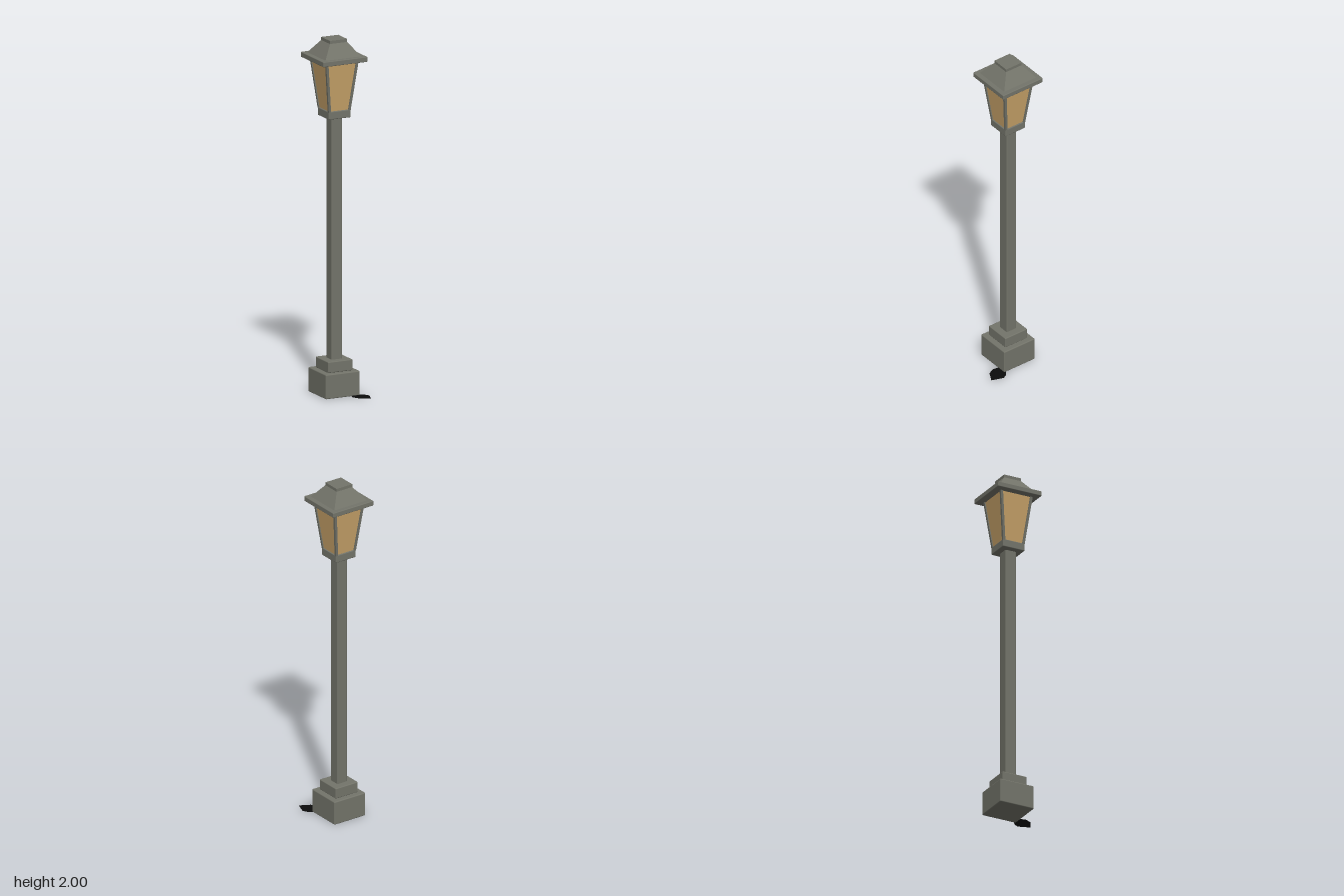
import * as THREE from 'three';
import { RoundedBoxGeometry } from 'three/addons/geometries/RoundedBoxGeometry.js';

export function createModel() {
  const model = new THREE.Group();
  const iron = new THREE.MeshStandardMaterial({ color: 0x73746a });
  iron.name = 'grey iron';
  const amber = new THREE.MeshStandardMaterial({ color: 0xc9a46a });
  amber.name = 'amber glass';
  const black = new THREE.MeshStandardMaterial({ color: 0x0c0c0c, side: THREE.DoubleSide });
  black.name = 'black';

  const lamp = new THREE.Group();
  lamp.name = 'streetLamp';
  lamp.position.set(-0.004, 0, -0.0365);
  model.add(lamp);

  function add(name, geometry, material) {
    const mesh = new THREE.Mesh(geometry, material);
    mesh.name = name;
    lamp.add(mesh);
    return mesh;
  }

  // square block with softened edges, from y0 to y1
  function block(name, width, y0, y1, bevel) {
    const geometry = new RoundedBoxGeometry(width, y1 - y0, width, 2, bevel);
    add(name, geometry.translate(0, (y0 + y1) / 2, 0), iron);
  }

  // square tapered solid with flat faces
  function taper(name, bottom, top, y0, y1, material) {
    let g = new THREE.CylinderGeometry(top * Math.SQRT1_2, bottom * Math.SQRT1_2, y1 - y0, 4);
    g = g.rotateY(Math.PI / 4).translate(0, (y0 + y1) / 2, 0).toNonIndexed();
    g.computeVertexNormals();
    add(name, g, material);
  }

  // stepped foot, pole and lantern collar
  block('base', 0.21, 0, 0.138, 0.006);
  block('baseStep', 0.15, 0.138, 0.2, 0.005);
  block('pole', 0.066, 0.19, 1.57, 0.006);
  block('collar', 0.135, 1.56, 1.605, 0.005);

  // glass body
  taper('lanternGlass', 0.122, 0.188, 1.6, 1.885, amber);

  // slanted corner bars
  const barWidth = 0.014, y0 = 1.6, y1 = 1.885;
  for (const sx of [-1, 1]) {
    for (const sz of [-1, 1]) {
      let g = new THREE.BoxGeometry(barWidth, y1 - y0, barWidth);
      const p = g.attributes.position;
      for (let i = 0; i < p.count; i++) {
        const reach = (p.getY(i) > 0 ? 0.1 : 0.067) - barWidth / 2;
        p.setXYZ(i, p.getX(i) + sx * reach, p.getY(i) + (y0 + y1) / 2, p.getZ(i) + sz * reach);
      }
      g = g.toNonIndexed();
      g.computeVertexNormals();
      add('cornerBar', g, iron);
    }
  }

  // roof: brim, slope and cap
  block('roofBrim', 0.272, 1.879, 1.908, 0.004);
  taper('roofSlope', 0.22, 0.105, 1.907, 1.983, iron);
  taper('roofCap', 0.105, 0.105, 1.983, 2, iron);

  // flat black patch on the ground beside the foot
  const outline = [[0.05, 0.05], [0.04, 0.1], [0.058, 0.138], [0.117, 0.17], [0.14, 0.102], [0.125, 0.075], [0.09, 0.05]];
  const patch = new THREE.ShapeGeometry(new THREE.Shape(outline.map(([x, z]) => new THREE.Vector2(x, -z))));
  const patchMesh = new THREE.Mesh(patch.rotateX(-Math.PI / 2).translate(0, 0.003, 0), black);
  patchMesh.name = 'groundPatch';
  model.add(patchMesh);

  return model;
}
